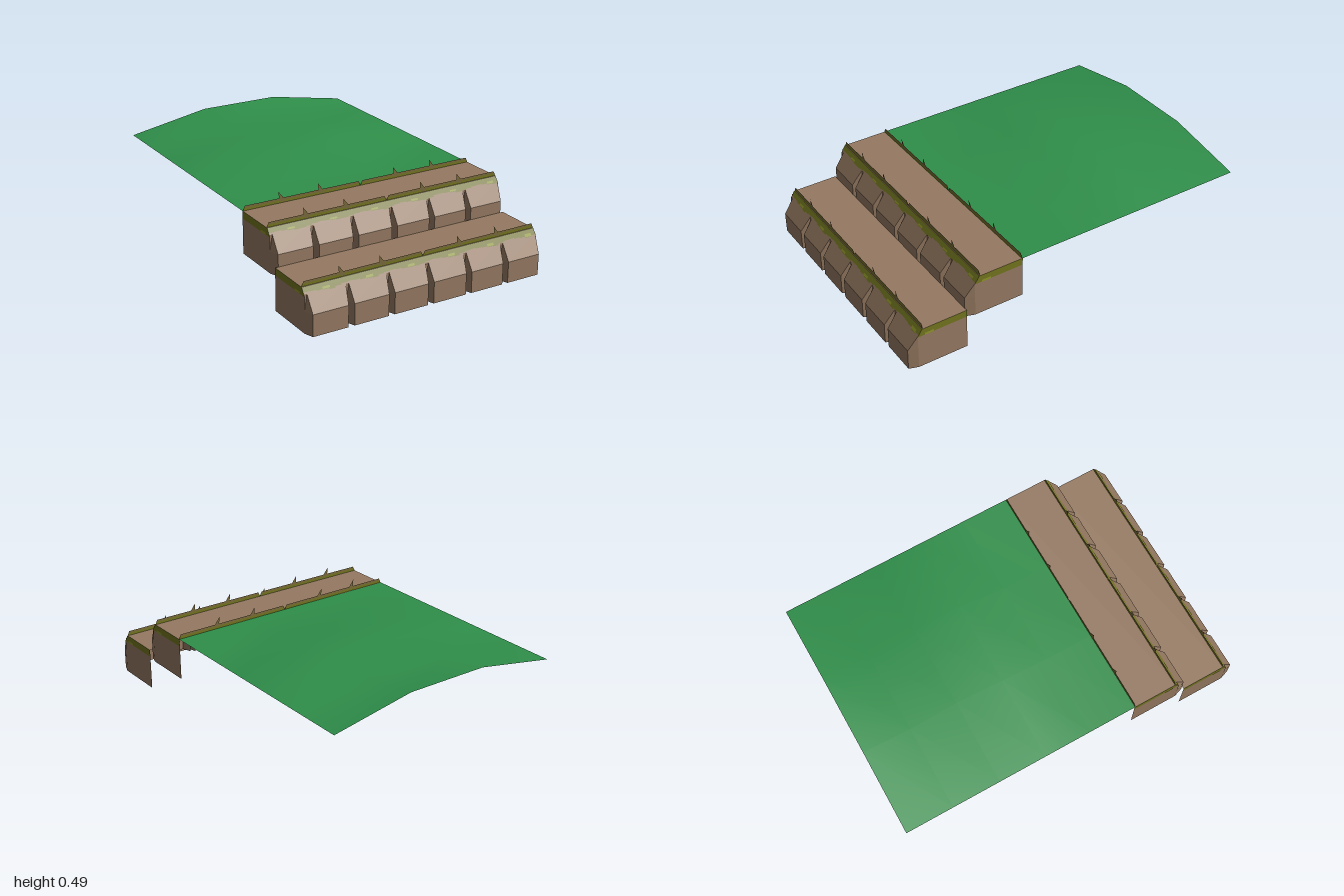
import * as THREE from 'three';

const mat = (name, color) => {
  const m = new THREE.MeshStandardMaterial({ color, side: THREE.DoubleSide, flatShading: name !== 'grass' });
  m.name = name;
  return m;
};

const HALF = 0.687, BLOCK = HALF / 3, NOTCH = 0.017;
const TOP = 0.23, BEND = 0.115, MOSS = 0.212;
// depth of the front face (0 = foremost) at a height
const faceZ = (y) => (y <= BEND ? 0 : -0.075 * (y - BEND) / (TOP - BEND));

// Grid surface from rows of [x, y, z] points
function loft(rows) {
  const n = rows[0].length, idx = [];
  for (let r = 0; r < rows.length - 1; r++)
    for (let c = 0; c < n - 1; c++) {
      const a = r * n + c, b = a + n;
      idx.push(a, a + 1, b + 1, a, b + 1, b);
    }
  const g = new THREE.BufferGeometry();
  g.setAttribute('position', new THREE.Float32BufferAttribute(rows.flat(2), 3));
  g.setIndex(idx);
  g.computeVertexNormals();
  return g;
}

function flat(points) {
  return new THREE.ShapeGeometry(new THREE.Shape(points.map(([x, y]) => new THREE.Vector2(x, y))));
}

function seeded(seed) {
  return () => (seed = (seed * 16807) % 2147483647) / 2147483647;
}

export function createModel() {
  const model = new THREE.Group();
  const earth = mat('earth', 0x967a62);
  const moss = mat('moss', 0x74761f);
  const lightMoss = mat('light moss', 0x8f9628);
  const dryMoss = mat('dry moss', 0x7a6a3c);
  const grass = mat('grass', 0x2f8f4a);

  const add = (parent, name, geo, material, x = 0, y = 0, z = 0) => {
    const m = new THREE.Mesh(geo, material);
    m.name = name;
    m.position.set(x, y, z);
    parent.add(m);
    return m;
  };

  // Columns across the front: notch centre, then both edges of each block
  const columns = [];
  for (let i = 0; i <= 6; i++) {
    const x = -HALF + i * BLOCK;
    if (i > 0) columns.push([x - NOTCH, 0]);
    columns.push([x, 1]);
    if (i < 6) columns.push([x + NOTCH, 0]);
  }
  const row = (y) => columns.map(([x, cut]) => {
    const z = faceZ(y);
    return [x, y, cut && y < 0.2 ? Math.min(z, -0.05) : z];
  });

  // Mossy lip standing upright along an edge, with a blade at each inner notch
  function addLip(parent, z, name) {
    const lip = new THREE.Group();
    lip.name = name;
    lip.position.set(0, TOP, z);
    for (const s of [-1, 1]) {
      const cx = s * HALF / 2, w = HALF / 2;
      add(lip, 'lipBase', flat([[-w, 0], [w, 0], [w - 0.006, 0.014], [-w + 0.006, 0.014]]), moss, cx);
      add(lip, 'lipCrest', flat([[-w + 0.006, 0.014], [w - 0.006, 0.014], [w - 0.012, 0.026], [-w + 0.012, 0.026]]), dryMoss, cx);
      for (const k of [1, 2])
        add(lip, 'blade', flat([[-0.028, 0.063], [-0.024, 0.012], [0.01, 0.002], [0.002, 0.024]]), dryMoss, s * k * BLOCK, 0, 0.002);
    }
    parent.add(lip);
  }

  function addTerrace(name, y, z, seed) {
    const rand = seeded(seed);
    const t = new THREE.Group();
    t.name = name;
    t.position.set(0, y, z);
    const back = -0.328, front = faceZ(TOP);

    // Notched earth wall with a moss band along its top
    add(t, 'frontWall', loft([0, BEND, 0.2, MOSS].map(row)), earth);
    add(t, 'mossBand', loft([MOSS, TOP].map(row)), moss);
    add(t, 'topPlate', loft([front, back].map((d) => [[-HALF, TOP, d], [HALF, TOP, d]])), earth);

    // Ragged moss hanging down the sloped face
    const steps = 40, ragged = [];
    const light = [];
    for (let i = 0; i < steps; i++) {
      const x0 = -HALF + 2 * HALF * i / steps, x1 = x0 + 2 * HALF / steps;
      const low = MOSS - 0.003 - 0.014 * Math.max(0, 0.5 + 0.5 * Math.sin(i * 0.9 + seed)) * (0.6 + 0.4 * rand());
      ragged.push([x0, low], [x1, low]);
      if (i % 7 === 3) light.push([x0, low]);
    }
    const hang = (pts, off) => loft([
      pts.map(([x, yy]) => [x, yy, faceZ(yy) + off]),
      pts.map(([x]) => [x, MOSS + 0.002, faceZ(MOSS + 0.002) + off])]);
    add(t, 'mossFringe', hang(ragged, 0.002), moss);
    for (const [x, yy] of light) add(t, 'mossPatch', hang([[x, yy + 0.004], [x + 0.04, yy + 0.004]], 0.004), lightMoss);

    // Side walls and the middle rib, each with a moss top
    for (const x of [-HALF, 0, HALF]) {
      const wall = (pts) => loft([pts.map(([d, h]) => [x, h, d]), pts.map(([, h]) => [x, h, back])]);
      add(t, 'sideWall', wall([[-0.05, 0], [-0.05, 0.19]]), earth);
      add(t, 'sideMoss', wall([[-0.05, 0.19], [faceZ(0.2), 0.2], [front, TOP]]), moss);
      if (x) add(t, 'sidePatch', loft([0.19, 0.202].map((h) =>
        [[x + Math.sign(x) * 0.002, h, -0.09], [x + Math.sign(x) * 0.002, h, -0.14]])), lightMoss);
    }
    addLip(t, front - 0.004, 'frontLip');
    model.add(t);
    return { t, back };
  }

  addTerrace('lowerTerrace', 0, 1, 11);
  const upper = addTerrace('upperTerrace', 0.18, 0.673, 29);
  addLip(upper.t, upper.back + 0.004, 'backLip');

  // Rolling grass sheet behind the terraces
  const hills = [[0, 0], [0, 0], [0.035, 0.078], [0.075, 0.065], [0.05, 0.035], [0.083, 0.083]];
  const sheet = hills.map(([l, r], i) => {
    const z = 0.35 - 0.27 * i;
    return [[-HALF, 0.41, z], [-0.23, 0.41 + l, z], [0.23, 0.41 + r, z], [HALF, 0.41, z]];
  });
  add(model, 'grassSheet', loft(sheet), grass);
  return model;
}
